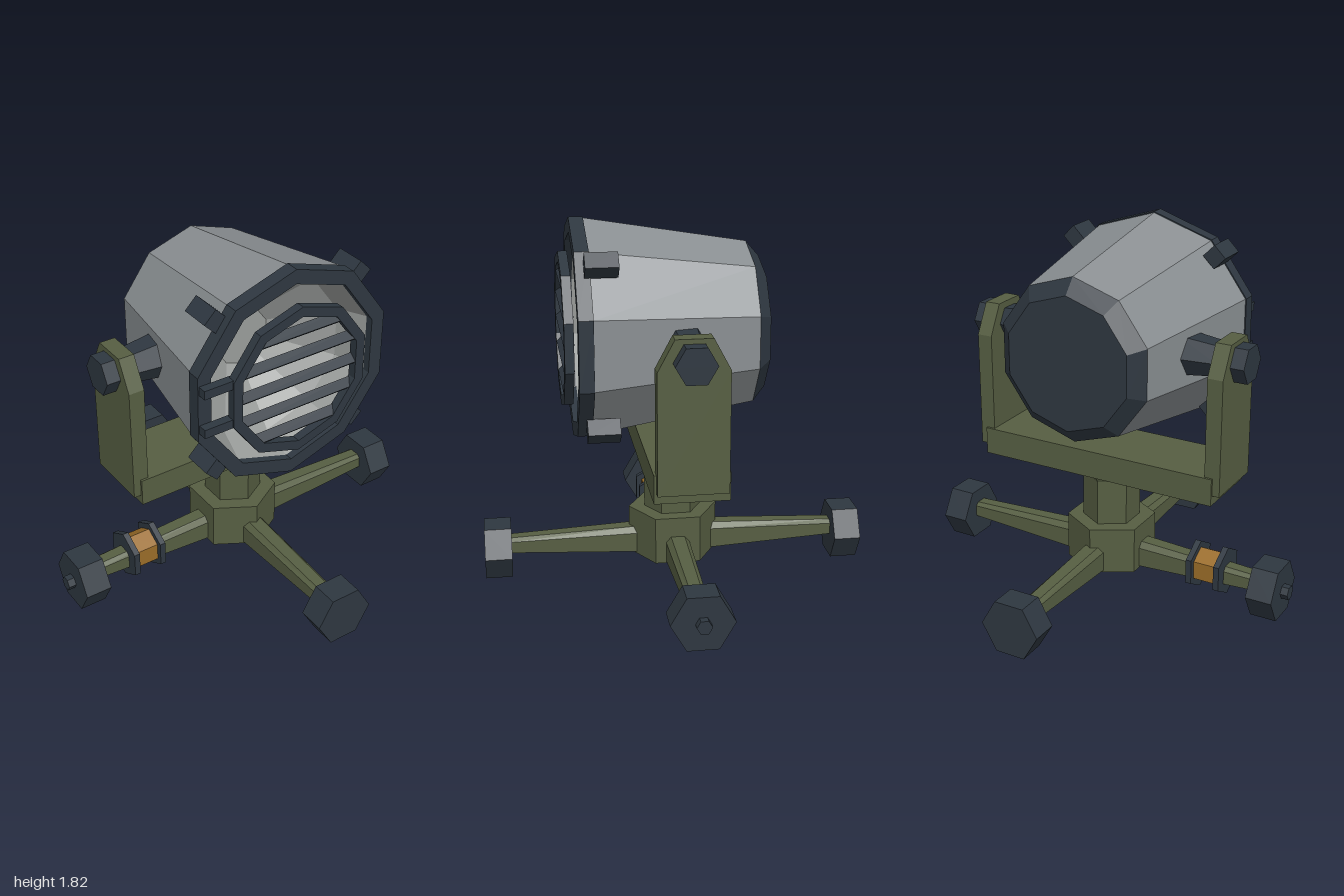
import * as THREE from 'three';

const mat = (name, color, side = THREE.FrontSide) =>
  new THREE.MeshStandardMaterial({ name, color, side, flatShading: true });

export function createModel() {
  const olive = mat('olive paint', 0x565e42);
  const dark = mat('dark steel', 0x2e3740);
  const grey = mat('grey housing', 0x8a8f92);
  const silver = mat('reflector silver', 0x9a9d9b);
  const amber = mat('amber cable', 0x9a6c28);
  const model = new THREE.Group();
  model.name = 'searchlight';

  const add = (parent, name, geo, material, x = 0, y = 0, z = 0) => {
    const m = new THREE.Mesh(geo, material);
    m.name = name;
    m.position.set(x, y, z);
    parent.add(m);
    return m;
  };
  const group = (parent, name) => {
    const g = new THREE.Group();
    g.name = name;
    parent.add(g);
    return g;
  };
  const box = (x, y, z) => new THREE.BoxGeometry(x, y, z);
  // Six-sided prism along y, and the same laid along x
  const hex = (top, bottom, h) => new THREE.CylinderGeometry(top, bottom, h, 6);
  const hexX = (outer, inner, h, turn = 0) => hex(outer, inner, h).rotateY(turn).rotateZ(-Math.PI / 2);
  // Ten-sided turned part along z, from [radius, z] points
  const turned = (pts) =>
    new THREE.LatheGeometry(pts.map(([r, z]) => new THREE.Vector2(r, z)), 10).rotateX(Math.PI / 2);
  const shape = (pts) => new THREE.Shape(pts.map(([x, y]) => new THREE.Vector2(x, y)));
  const extrude = (pts, depth) =>
    new THREE.ExtrudeGeometry(shape(pts), { depth, bevelEnabled: false });

  // Base: hub and neck
  const base = group(model, 'base');
  add(base, 'hub', hex(0.225, 0.225, 0.24), olive, 0, 0.2, 0);
  add(base, 'neck', hex(0.145, 0.145, 0.25), olive, 0, 0.435, 0);
  add(base, 'neckCollar', hex(0.165, 0.145, 0.035), olive, 0, 0.573, 0);

  // Tapered leg with chamfered top edges, running along +x
  const legLength = 0.72;
  const legGeo = extrude([
    [-0.06, -0.07], [0.06, -0.07], [0.06, 0.035], [0.035, 0.065], [-0.035, 0.065], [-0.06, 0.035],
  ], legLength);
  const p = legGeo.attributes.position;
  for (let i = 0; i < p.count; i++) {
    const t = p.getZ(i) / legLength;
    p.setXY(i, p.getX(i) * (1 - 0.23 * t), p.getY(i) * (1 - 0.47 * t));
  }
  legGeo.rotateY(Math.PI / 2);

  for (let i = 0; i < 4; i++) {
    const leg = group(base, 'leg');
    leg.rotation.y = (i * Math.PI) / 2;
    add(leg, 'legBeam', legGeo, olive, 0.14, 0.157, 0);
    add(leg, 'foot', hexX(0.152, 0.152, 0.135), dark, 0.895, 0.132, 0);
    if (i % 2 === 0) add(leg, 'axleCap', hexX(0.037, 0.037, 0.05), dark, 0.975, 0.132, 0);
  }

  // Cable spool on the right leg
  const spool = group(base, 'spool');
  spool.position.set(-0.575, 0.163, 0);
  add(spool, 'spoolCable', hexX(0.093, 0.093, 0.14, Math.PI / 6), amber);
  for (const s of [-1, 1])
    add(spool, 'spoolFlange', hexX(0.127, 0.127, 0.03, Math.PI / 6), dark, s * 0.075, 0, 0);

  // Yoke: cross beam, two arms and their pivots
  const yoke = group(model, 'yoke');
  add(yoke, 'yokeBeam', box(1.285, 0.14, 0.36), olive, 0, 0.66, 0);
  const armGeo = extrude([
    [-0.168, 0.64], [0.168, 0.64], [0.168, 1.23], [0.088, 1.38], [-0.088, 1.38], [-0.168, 1.23],
  ], 0.08).rotateY(Math.PI / 2);
  for (const turn of [0, Math.PI]) {
    const side = group(yoke, 'yokeSide');
    side.rotation.y = turn;
    add(side, 'yokeArm', armGeo, olive, 0.6, 0, 0);
    add(side, 'pivotKnob', hexX(0.098, 0.098, 0.08), dark, 0.71, 1.272, 0);
    add(side, 'pivotShaft', hexX(0.085, 0.112, 0.22), dark, 0.5, 1.272, 0);
  }

  // Lamp housing, back cap, rim and reflector bowl
  const lamp = group(model, 'lamp');
  lamp.position.y = 1.268;
  add(lamp, 'housing', turned([[0.41, -0.36], [0.543, 0.435]]), grey);
  add(lamp, 'backCap', turned([[0, -0.425], [0.335, -0.425], [0.41, -0.36]]), dark);
  add(lamp, 'rim', turned([[0.5, 0.43], [0.548, 0.43], [0.548, 0.5], [0.475, 0.5], [0.475, 0.43]]), dark);
  add(lamp, 'reflector', turned([[0.475, 0.46], [0.42, 0.3], [0.15, 0.08], [0, 0.08]]), silver);

  // Rim clips at the four diagonals
  for (const sx of [-1, 1])
    for (const sy of [-1, 1])
      add(lamp, 'rimClip', box(0.085, 0.085, 0.155), dark, sx * 0.397, sy * 0.395, 0.382)
        .rotation.z = Math.PI / 4;

  // Grille: ring, tilted slats and hinge bars
  const grille = group(lamp, 'grille');
  add(grille, 'grilleRing',
    turned([[0.386, 0.51], [0.386, 0.555], [0.335, 0.555], [0.335, 0.51], [0.386, 0.51]]), dark);
  [[-0.255, 0.235], [-0.13, 0.33], [0, 0.345], [0.13, 0.33], [0.255, 0.235]].forEach(([y, half]) => {
    add(grille, 'slat', box(2 * half, 0.016, 0.05), dark, 0, y, 0.53).rotation.x = 0.7;
  });
  for (const s of [-1, 1])
    add(grille, 'hingeBar', box(0.16, 0.045, 0.045), dark, -0.435, s * 0.103, 0.522);

  return model;
}
